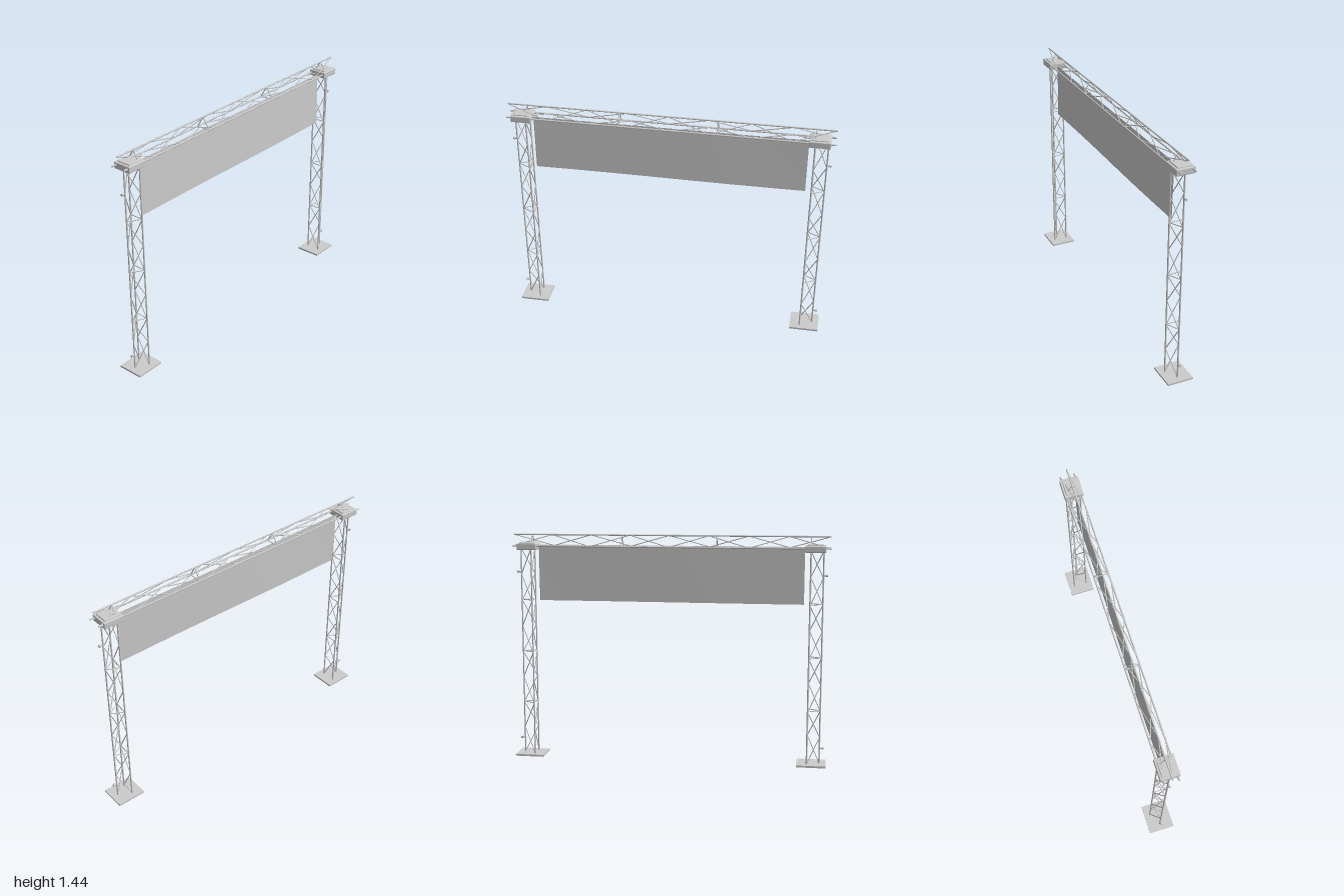
import * as THREE from 'three';
import { RoundedBoxGeometry } from 'three/addons/geometries/RoundedBoxGeometry.js';

const grey = new THREE.MeshStandardMaterial({ color: 0xcccccc });
const clothGrey = new THREE.MeshStandardMaterial({ color: 0xcccccc, side: THREE.DoubleSide });
const V = (x, y, z) => new THREE.Vector3(x, y, z);

function add(parent, name, geometry, x = 0, y = 0, z = 0, material = grey) {
  const mesh = new THREE.Mesh(geometry, material);
  mesh.name = name;
  mesh.position.set(x, y, z);
  parent.add(mesh);
  return mesh;
}

// Round bar between two points
function bar(parent, name, a, b, radius, sides = 8) {
  const dir = b.clone().sub(a);
  const mesh = add(parent, name, new THREE.CylinderGeometry(radius, radius, dir.length(), sides));
  mesh.position.copy(a).add(b).multiplyScalar(0.5);
  mesh.quaternion.setFromUnitVectors(V(0, 1, 0), dir.normalize());
}

// Three-chord truss: corner(i, t) gives chord i (0 = apex) at distance t
function truss(name, corner, start, end, nodes, rings) {
  const group = new THREE.Group();
  group.name = name;
  for (let i = 0; i < 3; i++) {
    bar(group, 'chord', corner(i, start), corner(i, end), 0.005, 12);
  }
  // Zigzag lacing on the three faces, opposed on the two sloping faces
  [[0, 1], [2, 0], [1, 2]].forEach(([p, q]) => {
    for (let k = 0; k < nodes.length - 1; k++) {
      const [a, b] = k % 2 ? [q, p] : [p, q];
      bar(group, 'brace', corner(a, nodes[k]), corner(b, nodes[k + 1]), 0.003);
    }
    for (const t of rings) bar(group, 'ringBar', corner(p, t), corner(q, t), 0.003);
  });
  return group;
}

const steps = (from, to, count) =>
  Array.from({ length: count + 1 }, (_, i) => from + (to - from) * i / count);

function tower(side) {
  const group = new THREE.Group();
  group.name = side > 0 ? 'leftTower' : 'rightTower';
  const cx = side * 0.908;

  // Base plate
  add(group, 'basePlate', new THREE.BoxGeometry(0.184, 0.012, 0.164), cx, 0.006, 0);

  // Upright with its single chord on the outside
  const corner = (i, t) => i === 0
    ? V(side * 0.958, t, 0)
    : V(side * 0.88, t, i === 1 ? 0.044 : -0.044);
  group.add(truss('upright', corner, 0.01, 1.35, steps(0.012, 1.35, 8), [0.35, 0.685, 1.02]));

  // Sleeve block joining upright and beam
  add(group, 'sleeveBlock', new RoundedBoxGeometry(0.128, 0.041, 0.118, 3, 0.006), cx, 1.3605, 0);
  add(group, 'sleeveLid', new RoundedBoxGeometry(0.1, 0.016, 0.092, 3, 0.005), cx, 1.38, 0);

  // Outer pegs
  for (const y of [0.108, 1.198]) {
    bar(group, 'peg', V(side * 0.958, y, 0), V(side * 0.984, y, 0), 0.005, 12);
    bar(group, 'pegCap', V(side * 0.974, y, 0), V(side * 0.985, y, 0), 0.008, 12);
  }
  return group;
}

export function createModel() {
  const model = new THREE.Group();
  model.name = 'bannerGantry';
  model.add(tower(1), tower(-1));

  // Crossbeam with its single chord on top
  const corner = (i, t) => i === 0
    ? V(t, 1.436, 0)
    : V(t, 1.365, i === 1 ? 0.044 : -0.044);
  model.add(truss('crossbeam', corner, -1, 1, steps(-1, 1, 8), [-0.88, -0.3, 0.3, 0.88]));

  // Hanging banner, gently billowing
  const cloth = new THREE.PlaneGeometry(1.685, 0.345, 32, 8);
  const p = cloth.attributes.position;
  for (let i = 0; i < p.count; i++) {
    const u = p.getX(i) / 0.8425, v = 0.5 - p.getY(i) / 0.345;
    p.setZ(i, 0.004 + 0.006 * v + 0.003 * Math.sin(u * Math.PI) * v);
  }
  cloth.computeVertexNormals();
  add(model, 'banner', cloth, 0, 1.1875, 0, clothGrey);
  return model;
}
